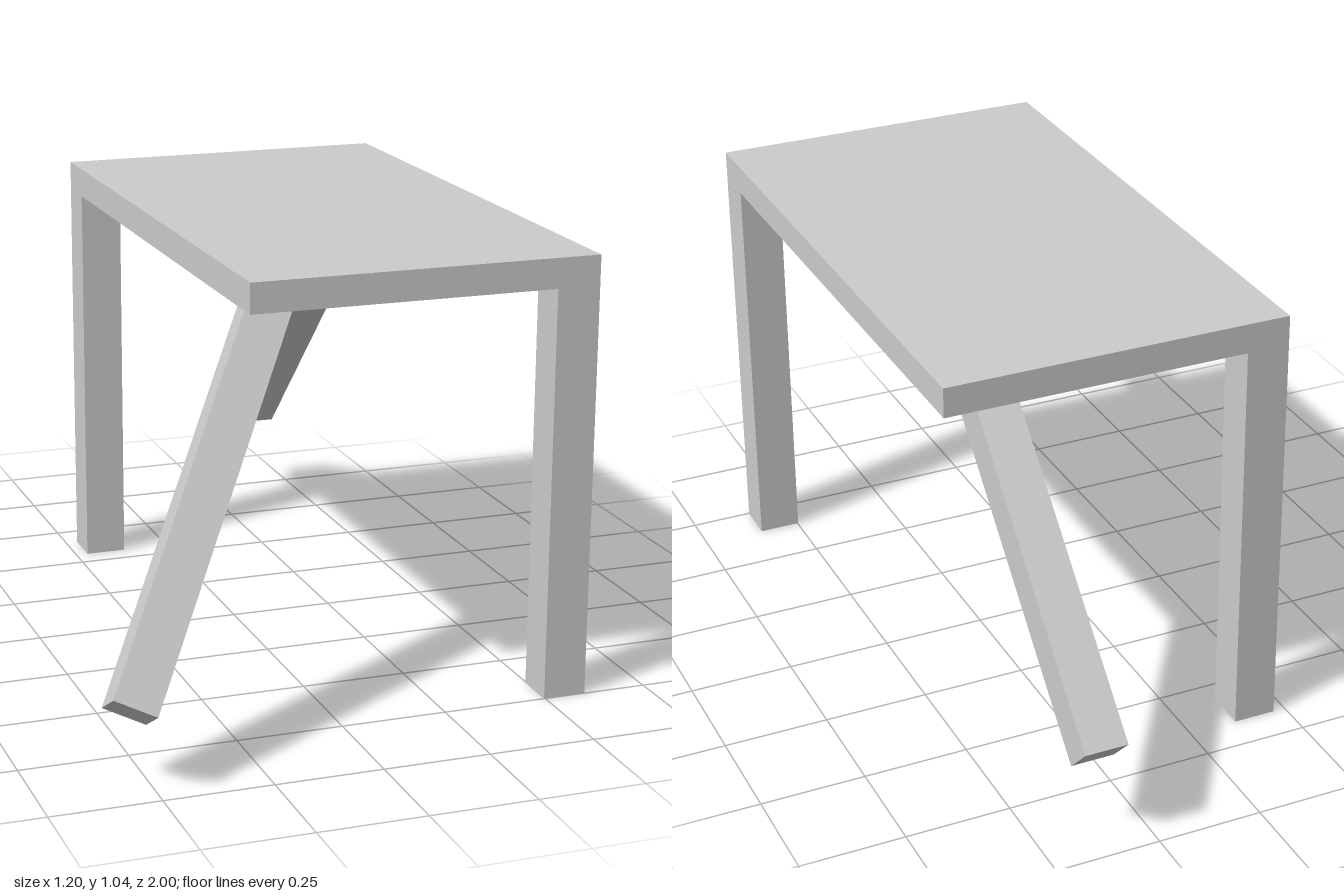
import * as THREE from 'three';

export function createModel() {
  const model = new THREE.Group();
  const material = new THREE.MeshStandardMaterial({ color: 0xcccccc, flatShading: true });

  function addBox(name, size, position, rotation = [0, 0, 0]) {
    const mesh = new THREE.Mesh(new THREE.BoxGeometry(...size), material);
    mesh.name = name;
    mesh.position.set(...position);
    mesh.rotation.set(...rotation.map(THREE.MathUtils.degToRad));
    model.add(mesh);
  }

  const leg = 0.102; // leg thickness
  const underside = 0.968;

  // Table top
  addBox('tableTop', [0.82, 0.07, 1.41], [0.19, underside + 0.035, 0.043]);

  // Upright legs at two opposite corners
  addBox('frontLeftLeg', [leg, underside, leg], [0.549, underside / 2, 0.697]);
  addBox('backRightLeg', [leg, underside, leg], [-0.169, underside / 2, -0.611]);

  // Splayed legs, their upper ends sunk into the top
  addBox('frontRightSplayedLeg', [leg, 1.03, leg], [-0.314, 0.579, 0.718], [-30, 0, -27.8]);
  addBox('backLeftSplayedLeg', [leg, 1.02, leg], [0.38, 0.605, -0.603], [45, 0, 0]);

  return model;
}
